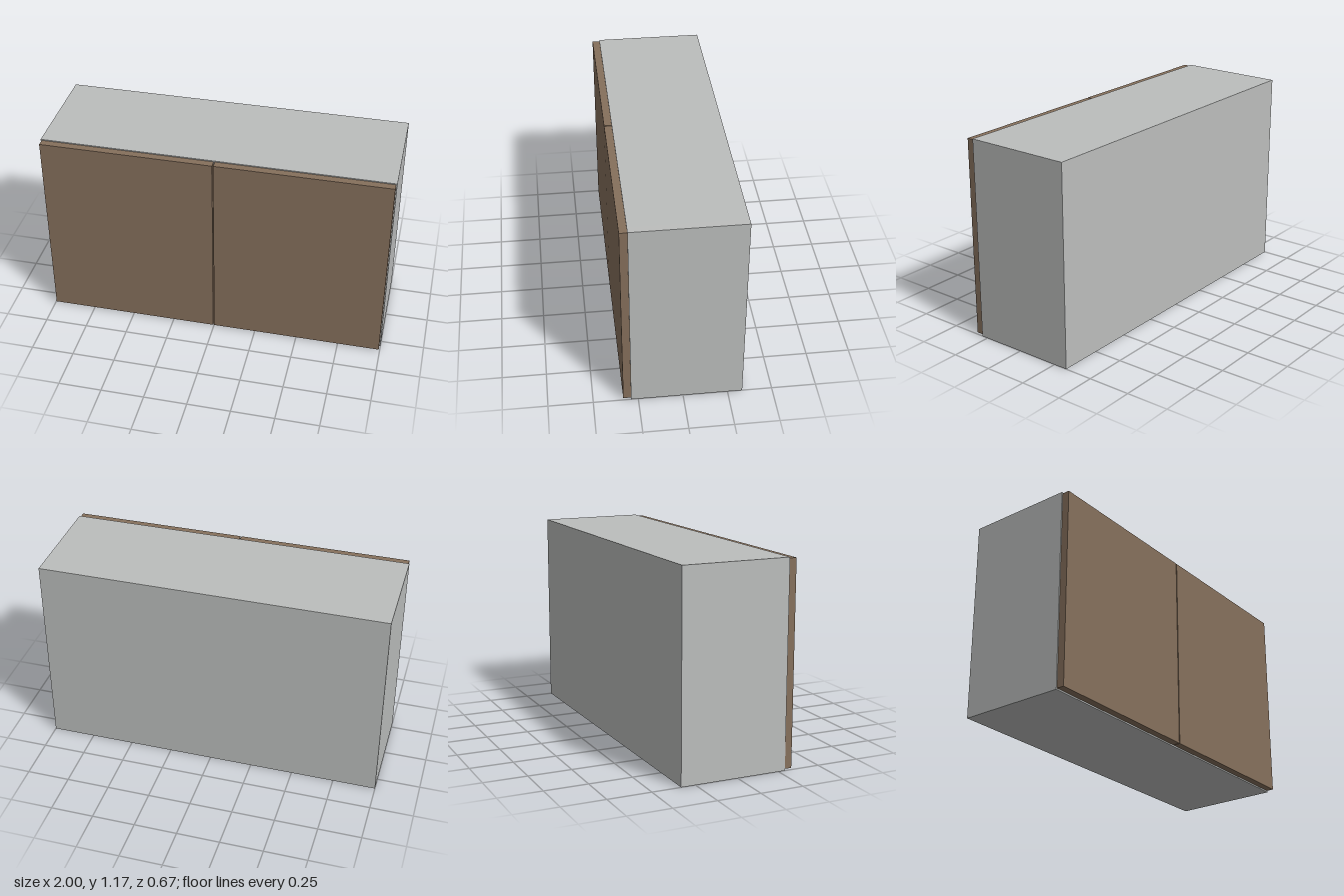
import * as THREE from 'three';

const W = 2, H = 1.167, T = 0.04;         // cabinet width, height, panel thickness
const BACK = -0.333, FRONT = 0.29, DOOR_FRONT = 0.333;

export function createModel() {
  const group = new THREE.Group();
  group.name = 'wallCabinet';

  const panelGrey = new THREE.MeshStandardMaterial({ color: 0xbcbebd });
  panelGrey.name = 'panelGrey';
  const doorBrown = new THREE.MeshStandardMaterial({ color: 0x86705c });
  doorBrown.name = 'doorBrown';

  // Box given by its extents on each axis
  const board = (name, [x0, x1], [y0, y1], [z0, z1], material) => {
    const mesh = new THREE.Mesh(new THREE.BoxGeometry(x1 - x0, y1 - y0, z1 - z0), material);
    mesh.position.set((x0 + x1) / 2, (y0 + y1) / 2, (z0 + z1) / 2);
    mesh.name = name;
    group.add(mesh);
  };

  const inner = [-W / 2 + T, W / 2 - T];
  const depth = [BACK, FRONT];

  // Carcass: top and bottom fitted between the sides, back set between them all
  board('topPanel', inner, [H - T, H], depth, panelGrey);
  board('bottomPanel', inner, [0, T], depth, panelGrey);
  board('backPanel', inner, [T, H - T], [BACK, BACK + T], panelGrey);

  // Side panels and the pair of doors, with a thin reveal around each door
  for (const [side, s] of [['left', 1], ['right', -1]]) {
    const span = (a, b) => [a * s, b * s].sort((p, q) => p - q);
    board(side + 'SidePanel', span(W / 2 - T, W / 2), [0, H], depth, panelGrey);
    board(side + 'Door', span(0.003, 0.994), [0.008, 1.161], [FRONT, DOOR_FRONT], doorBrown);
  }

  return group;
}
